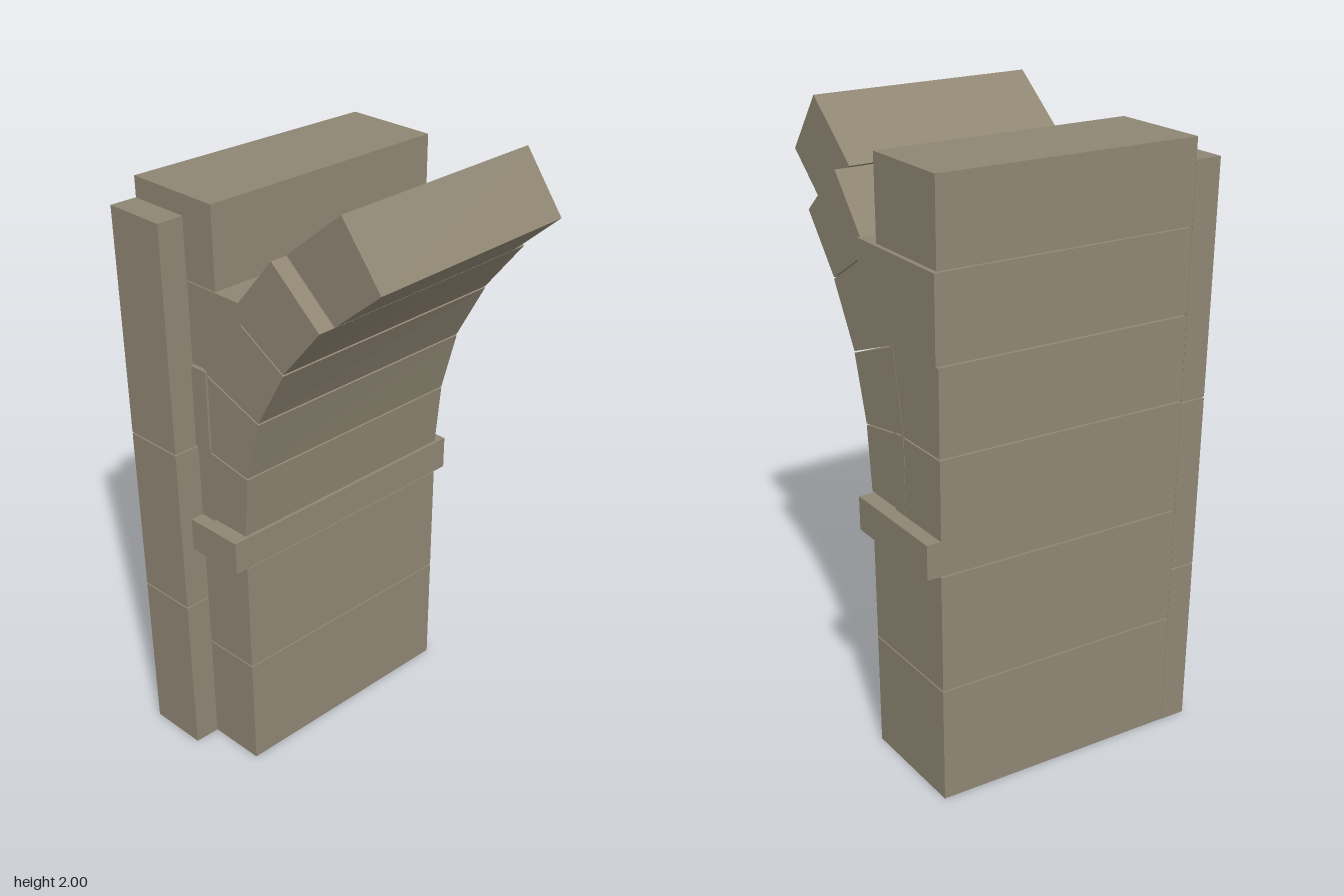
import * as THREE from 'three';

// Plan taper: the masonry narrows and leans slightly along its depth.
const LEAN = 0.079, TAPER = 0.068;
const taper = (x, z) => x * (1 + TAPER * z) - LEAN * z;

const OUTER = -0.405, JAMB = -0.033, GAP = 0.005;

export function createModel() {
  const group = new THREE.Group();
  const stone = new THREE.MeshStandardMaterial({ color: 0x8f8673 });
  stone.name = 'stone';

  // Stone block: counter-clockwise outline (at mid depth) run from zBack to zFront.
  function block(name, outline, zFront, zBack) {
    const shape = new THREE.Shape(outline.map(([x, y]) => new THREE.Vector2(x, y)));
    const geo = new THREE.ExtrudeGeometry(shape, { depth: zFront - zBack, bevelEnabled: false });
    geo.translate(0, 0, zBack);
    const p = geo.attributes.position;
    for (let i = 0; i < p.count; i++) p.setX(i, taper(p.getX(i), p.getZ(i)));
    geo.computeVertexNormals();
    const mesh = new THREE.Mesh(geo, stone);
    mesh.name = name;
    group.add(mesh);
  }
  const rect = (x0, x1, y0, y1) => [[x0, y0], [x1, y0], [x1, y1], [x0, y1]];

  // Lower wall courses and projecting impost
  block('jambLower', rect(OUTER, JAMB, 0, 0.387), 0.38, -0.42);
  block('jambUpper', rect(OUTER, JAMB, 0.392, 0.774), 0.38, -0.42);
  block('impost', rect(OUTER, JAMB + 0.002, 0.779, 0.89), 0.422, -0.463);

  // Narrow pilaster in front of the outer edge
  [[0, 0.565], [0.57, 1.133], [1.138, 1.862]].forEach(([y0, y1], i) =>
    block('pilaster' + (i + 1), rect(OUTER - 0.001, -0.218, y0, y1), 0.463, 0.38));

  // Wall courses behind the arch
  block('backing1', rect(OUTER, -0.165, 0.89, 1.138), 0.38, -0.419);
  block('backing2', rect(OUTER, -0.16, 1.143, 1.408), 0.387, -0.419);
  block('backing3', rect(OUTER, -0.014, 1.413, 1.67), 0.38, -0.427);
  block('topCourse', rect(OUTER, -0.106, 1.674, 1.926), 0.381, -0.42);

  // Arch joints: inner point, outer point
  const joints = [
    [[-0.034, 0.892], [-0.22, 0.892]],
    [[-0.015, 1.105], [-0.22, 1.143]],
    [[0.039, 1.313], [-0.175, 1.398]],
    [[0.141, 1.508], [-0.05, 1.628]],
    [[0.274, 1.682], [0.108, 1.832]],
  ];
  for (let i = 0; i < 4; i++) {
    const [a, b] = joints[i], [c, d] = joints[i + 1];
    block('archStone' + (i + 1),
      [[a[0], a[1] + GAP], c, d, [b[0], b[1] + GAP]], 0.38, -0.42);
  }

  // Keystone, slightly shallower than the arch
  block('keystone', [[0.277, 1.685], [0.432, 1.824], [0.3, 2.0], [0.111, 1.835]], 0.33, -0.373);
  return group;
}
